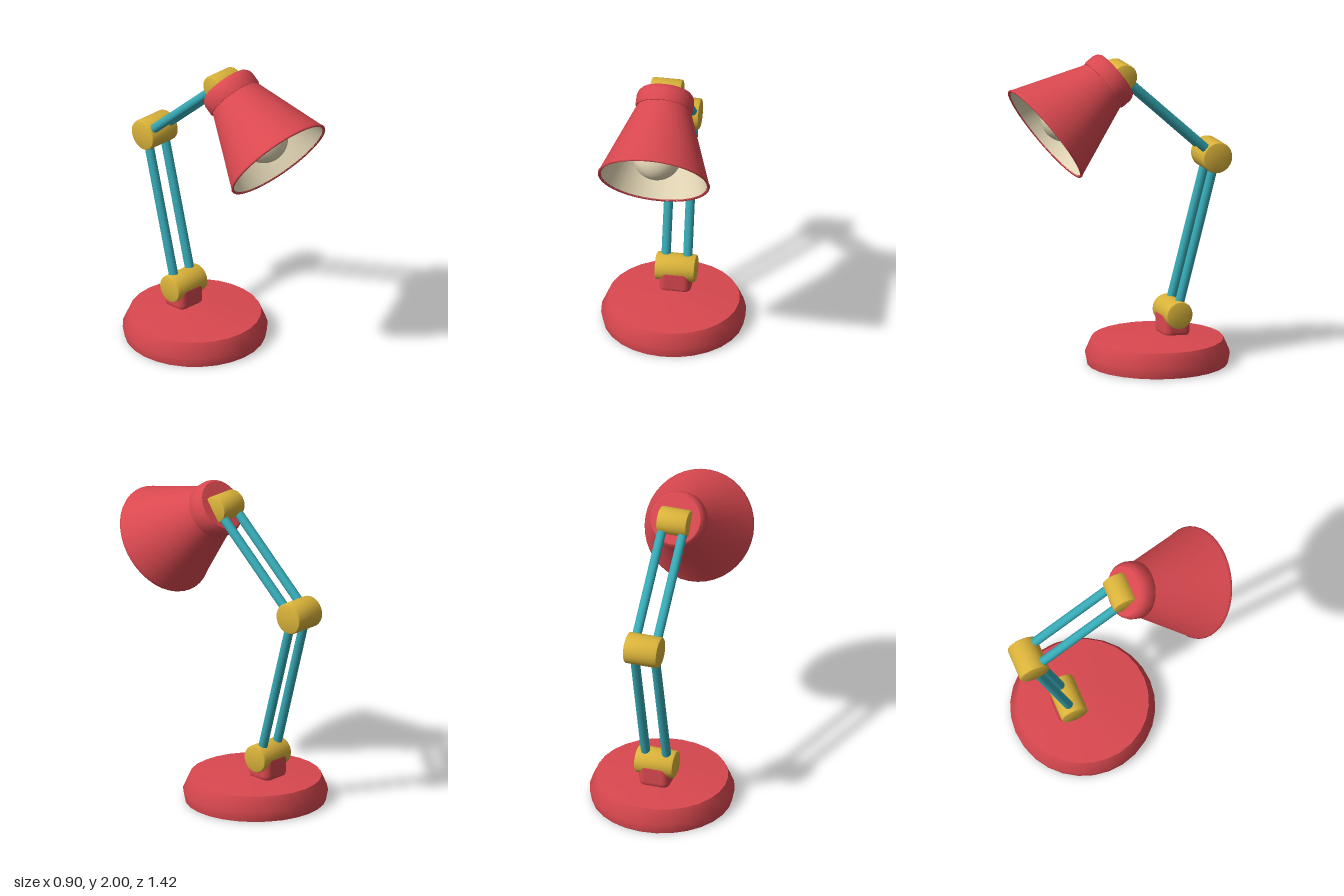
import * as THREE from 'three';
import { toCreasedNormals } from 'three/addons/utils/BufferGeometryUtils.js';
import { RoundedBoxGeometry } from 'three/addons/geometries/RoundedBoxGeometry.js';

const material = (name, color) => {
  const m = new THREE.MeshStandardMaterial({ color });
  m.name = name;
  return m;
};

// Turned shape from [radius, height] pairs, listed bottom to top for outward faces
const turned = (profile, sides, crease = 0.75) =>
  toCreasedNormals(new THREE.LatheGeometry(profile.map(([r, y]) => new THREE.Vector2(r, y)), sides), crease);

export function createModel() {
  const red = material('red enamel', 0xd9484f);
  const teal = material('teal rod', 0x36a9b5);
  const mustard = material('mustard joint', 0xd9b23a);
  const cream = material('cream lining', 0xe6d9b8);

  const model = new THREE.Group();
  model.name = 'deskLamp';
  const add = (parent, name, geometry, mat, x = 0, y = 0, z = 0) => {
    const mesh = new THREE.Mesh(geometry, mat);
    mesh.name = name;
    mesh.position.set(x, y, z);
    parent.add(mesh);
    return mesh;
  };

  // Weighted base with a shallow domed top
  add(model, 'base', turned([[0, 0], [0.437, 0], [0.45, 0.065], [0.41, 0.157], [0.12, 0.185], [0, 0.187]], 28),
    red, 0, 0, -0.25);
  add(model, 'neck', new RoundedBoxGeometry(0.2, 0.18, 0.175, 4, 0.045), red, 0, 0.25, -0.352);

  // Barrel joints lying across the lamp
  const shoulder = new THREE.Vector3(0, 0.313, -0.352);
  const elbow = new THREE.Vector3(0, 1.292, -0.613);
  const wrist = new THREE.Vector3(0, 1.86, 0.005);
  const addJoint = (name, at, r, half) => {
    const b = 0.012;
    const geometry = turned([
      [0, -half], [r - b, -half], [r - b * 0.3, -half + b * 0.3], [r, -half + b],
      [r, half - b], [r - b * 0.3, half - b * 0.3], [r - b, half], [0, half],
    ], 28);
    add(model, name, geometry, mustard, at.x, at.y, at.z).rotation.z = Math.PI / 2;
  };
  addJoint('shoulderJoint', shoulder, 0.087, 0.126);
  addJoint('elbowJoint', elbow, 0.098, 0.11);
  addJoint('wristJoint', wrist, 0.085, 0.098);

  // Paired rods between joints
  const addRods = (name, from, to) => {
    const along = to.clone().sub(from);
    for (const side of [-1, 1]) {
      const rod = add(model, name, new THREE.CylinderGeometry(0.029, 0.029, along.length(), 16), teal);
      rod.position.copy(from).add(to).multiplyScalar(0.5);
      rod.position.x = side * 0.068;
      rod.quaternion.setFromUnitVectors(new THREE.Vector3(0, 1, 0), along.clone().normalize());
    }
  };
  addRods('lowerRod', shoulder, elbow);
  addRods('upperRod', elbow, wrist);

  // Head: local +y points out of the shade, forward and down
  const head = new THREE.Group();
  head.name = 'head';
  head.position.set(0, 1.864, 0.024);
  head.rotation.x = 2.185;
  model.add(head);
  add(head, 'shadeCap', turned([[0, 0], [0.158, 0], [0.172, 0.015], [0.18, 0.04], [0.18, 0.1],
    [0.176, 0.11], [0, 0.11]], 32, 0.6), red);
  add(head, 'shade', turned([[0.166, 0.1], [0.343, 0.567], [0.351, 0.579], [0.348, 0.587],
    [0.341, 0.588], [0.332, 0.58]], 40, 1.1), red);
  add(head, 'shadeLining', turned([[0.335, 0.583], [0.153, 0.105]], 40), cream);
  add(head, 'bulbSocket', new THREE.CylinderGeometry(0.07, 0.07, 0.2, 20), red, 0, 0.2, 0);
  add(head, 'bulb', new THREE.SphereGeometry(0.152, 28, 20), cream, 0, 0.419, 0);

  return model;
}
